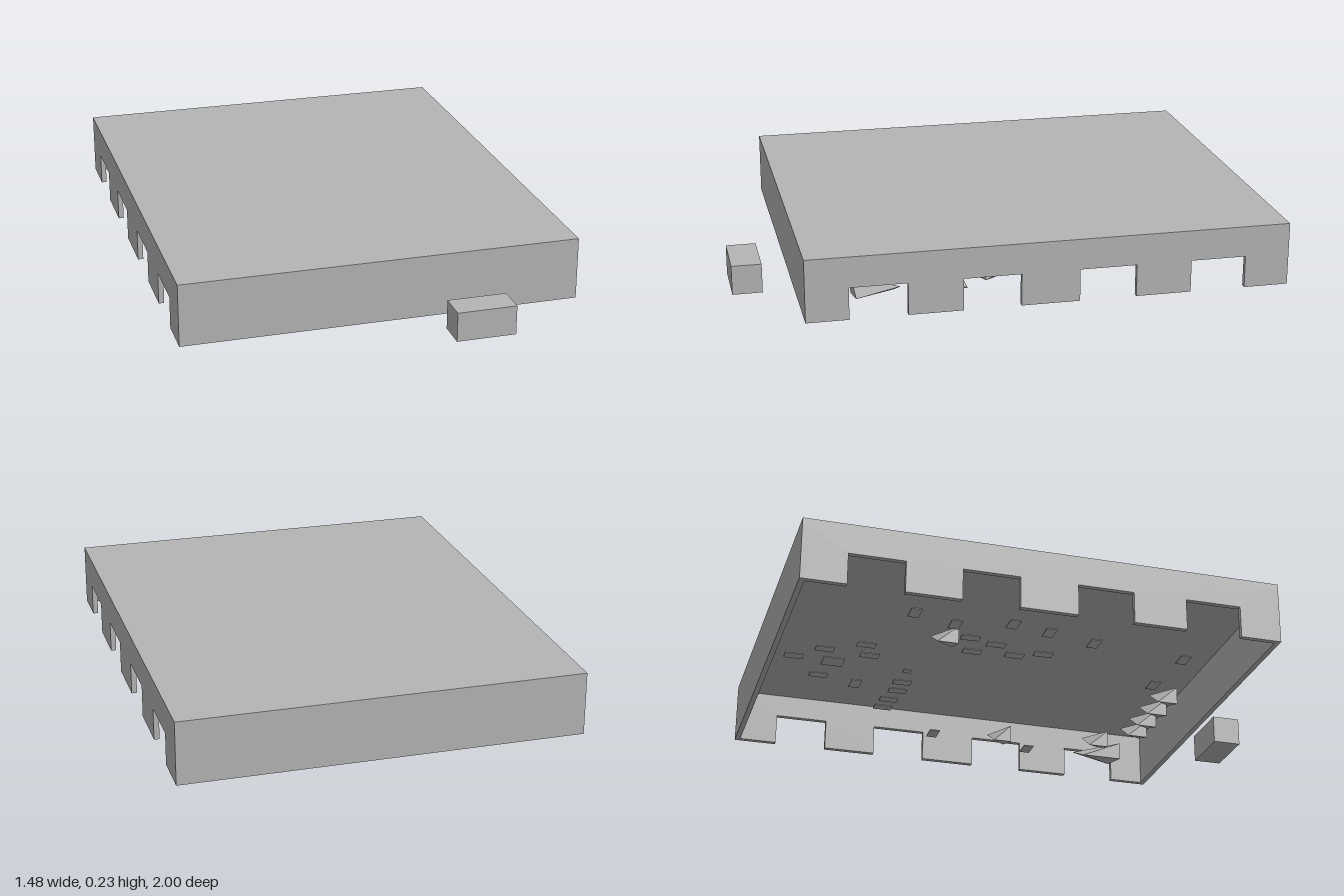
import * as THREE from 'three';
import { ConvexGeometry } from 'three/addons/geometries/ConvexGeometry.js';

export function createModel() {
  const model = new THREE.Group();
  const grey = new THREE.MeshStandardMaterial({ color: 0xb4b4b4 });
  grey.name = 'plain grey';

  function add(name, geometry, x = 0, y = 0, z = 0) {
    const mesh = new THREE.Mesh(geometry, grey);
    mesh.name = name;
    mesh.position.set(x, y, z);
    model.add(mesh);
  }
  const box = (name, w, h, d, x, y, z) => add(name, new THREE.BoxGeometry(w, h, d), x, y, z);

  // Hall shell: roof slab and end walls, open underneath
  const W = 0.74, H = 0.235, back = -1, front = 0.775, t = 0.02, slab = 0.025;
  box('roof', 2 * W, slab, front - back, 0, H - slab / 2, (front + back) / 2);
  const wallH = H - slab;
  box('frontWall', 2 * W, wallH, t, 0, wallH / 2, front - t / 2);
  box('backWall', 2 * W, wallH, t, 0, wallH / 2, back + t / 2);

  // Side walls with four door openings each
  const outline = new THREE.Shape();
  outline.moveTo(back + t, 0);
  for (const [a, b] of [[-0.835, -0.63], [-0.425, -0.215], [0, 0.21], [0.41, 0.62]]) {
    outline.lineTo(a, 0);
    outline.lineTo(a, 0.12);
    outline.lineTo(b, 0.12);
    outline.lineTo(b, 0);
  }
  outline.lineTo(front - t, 0);
  outline.lineTo(front - t, wallH);
  outline.lineTo(back + t, wallH);
  const side = new THREE.ExtrudeGeometry(outline, { depth: t, bevelEnabled: false });
  side.rotateY(-Math.PI / 2);
  add('leftWall', side, W);
  add('rightWall', side, -W + t);

  // Block standing outside the front wall
  box('outsideBlock', 0.22, 0.11, 0.11, 0.31, 0.055, 0.945);

  // Faceted wedges inside: x, z, width, depth
  const wedges = [
    [0.565, 0.5, 0.15, 0.16], [0.43, 0.45, 0.1, 0.08],
    [0.29, 0.57, 0.1, 0.08], [0.18, 0.57, 0.1, 0.08], [0.06, 0.57, 0.1, 0.08], [-0.06, 0.57, 0.1, 0.08],
    [0.5, 0.055, 0.12, 0.07], [-0.34, -0.39, 0.11, 0.08],
  ];
  for (const [x, z, w, d] of wedges) {
    const a = w / 2, b = d / 2, h = 0.07;
    const points = [[-a, 0, b], [-a, h, b], [a, h, -b], [-a, 0, -b], [a, h / 2, b]];
    add('wedge', new ConvexGeometry(points.map((p) => new THREE.Vector3(...p))), x, 0, z);
  }

  // Thin floor plates, long way along z
  const deepPlates = [
    [0.25, -0.49], [0.17, -0.485], [0.08, -0.47], [0, -0.47], [0.02, -0.79], [-0.12, -0.91],
    [-0.21, -0.81], [-0.285, -0.67], [-0.2, -0.64], [-0.34, -0.285], [-0.45, -0.32],
    [-0.42, -0.215], [-0.35, -0.125], [-0.39, -0.026],
  ];
  for (const [x, z] of deepPlates) box('floorPlate', 0.04, 0.004, 0.07, x, 0.002, z);

  // Thin floor plates, long way along x
  const widePlates = [
    [0.45, -0.236], [0.5, 0.175], [0.06, -0.64], [-0.53, 0.127], [-0.57, -0.056],
    [-0.6, -0.2], [-0.54, -0.4], [-0.59, -0.56], [-0.245, 0.46], [-0.49, 0.49],
  ];
  for (const [x, z] of widePlates) box('floorPlate', 0.07, 0.004, 0.04, x, 0.002, z);
  box('largeFloorPlate', 0.07, 0.004, 0.08, -0.11, 0.002, -0.76);
  box('smallFloorPlate', 0.03, 0.004, 0.03, -0.105, 0.002, -0.475);

  return model;
}
